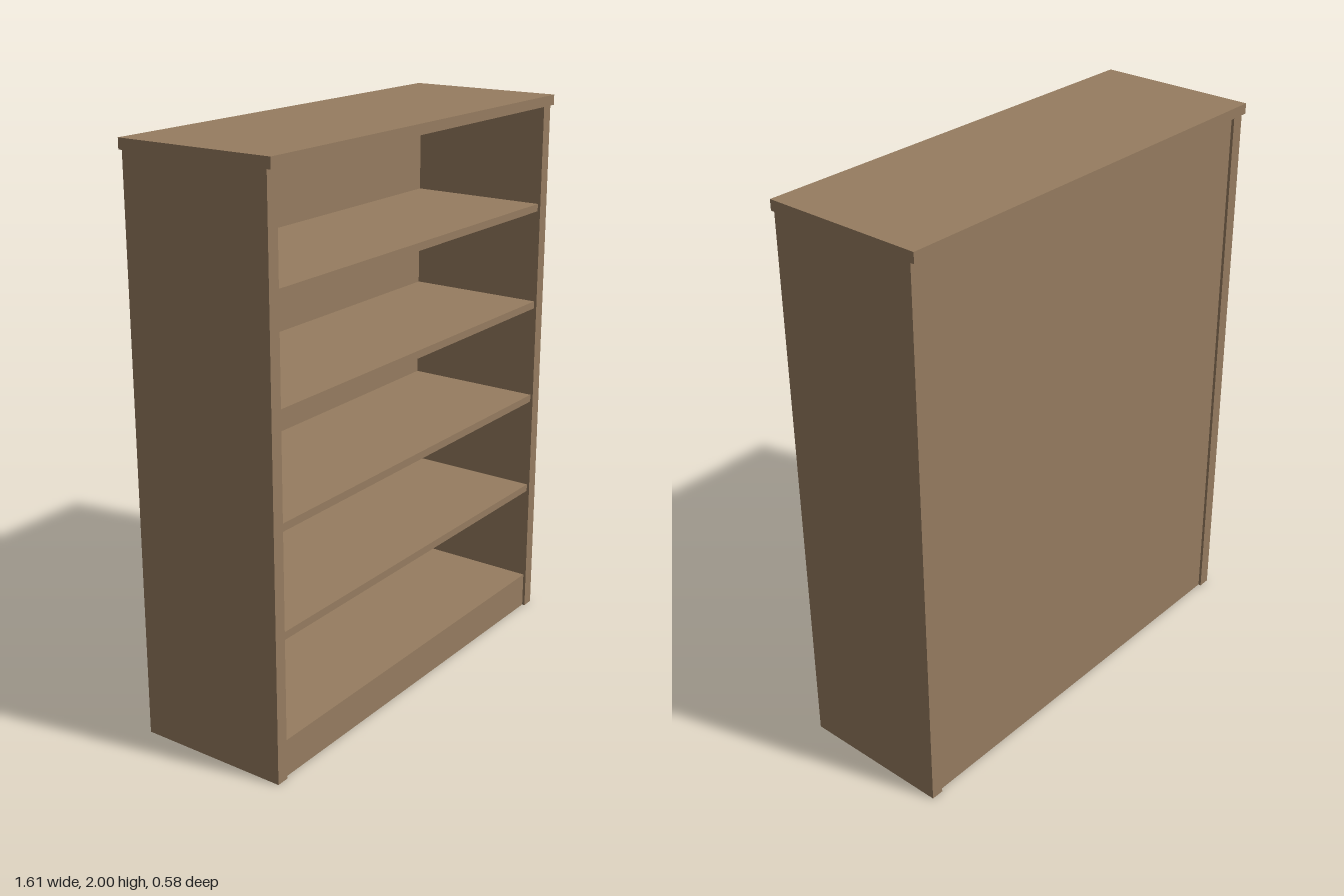
import * as THREE from 'three';

export function createModel() {
  const group = new THREE.Group();
  group.name = 'bookcase';
  const wood = new THREE.MeshStandardMaterial({ color: 0x967c60 });
  wood.name = 'brown wood';

  // Board given by its extents on each axis
  function board(name, [x0, x1], [y0, y1], [z0, z1]) {
    const mesh = new THREE.Mesh(new THREE.BoxGeometry(x1 - x0, y1 - y0, z1 - z0), wood);
    mesh.position.set((x0 + x1) / 2, (y0 + y1) / 2, (z0 + z1) / 2);
    mesh.name = name;
    group.add(mesh);
  }

  const outer = 0.806, inner = 0.761, topY = 1.964;
  const inside = [-inner, inner];
  const shelfDepth = [-0.248, 0.265];

  // Side panels and overhanging top
  board('leftSide', [inner, outer], [0, topY], [-0.275, 0.275]);
  board('rightSide', [-outer, -inner], [0, topY], [-0.275, 0.275]);
  board('top', [-outer, outer], [topY, 2], [-0.289, 0.289]);

  // Slightly recessed back panel and closed plinth
  board('backPanel', inside, [0, topY], [-0.265, -0.248]);
  board('base', inside, [0, 0.131], shelfDepth);

  // Four evenly spaced shelves
  for (let i = 0; i < 4; i++) {
    const y = 0.487 + i * 0.3655;
    board(`shelf${i + 1}`, inside, [y, y + 0.027], shelfDepth);
  }
  return group;
}
